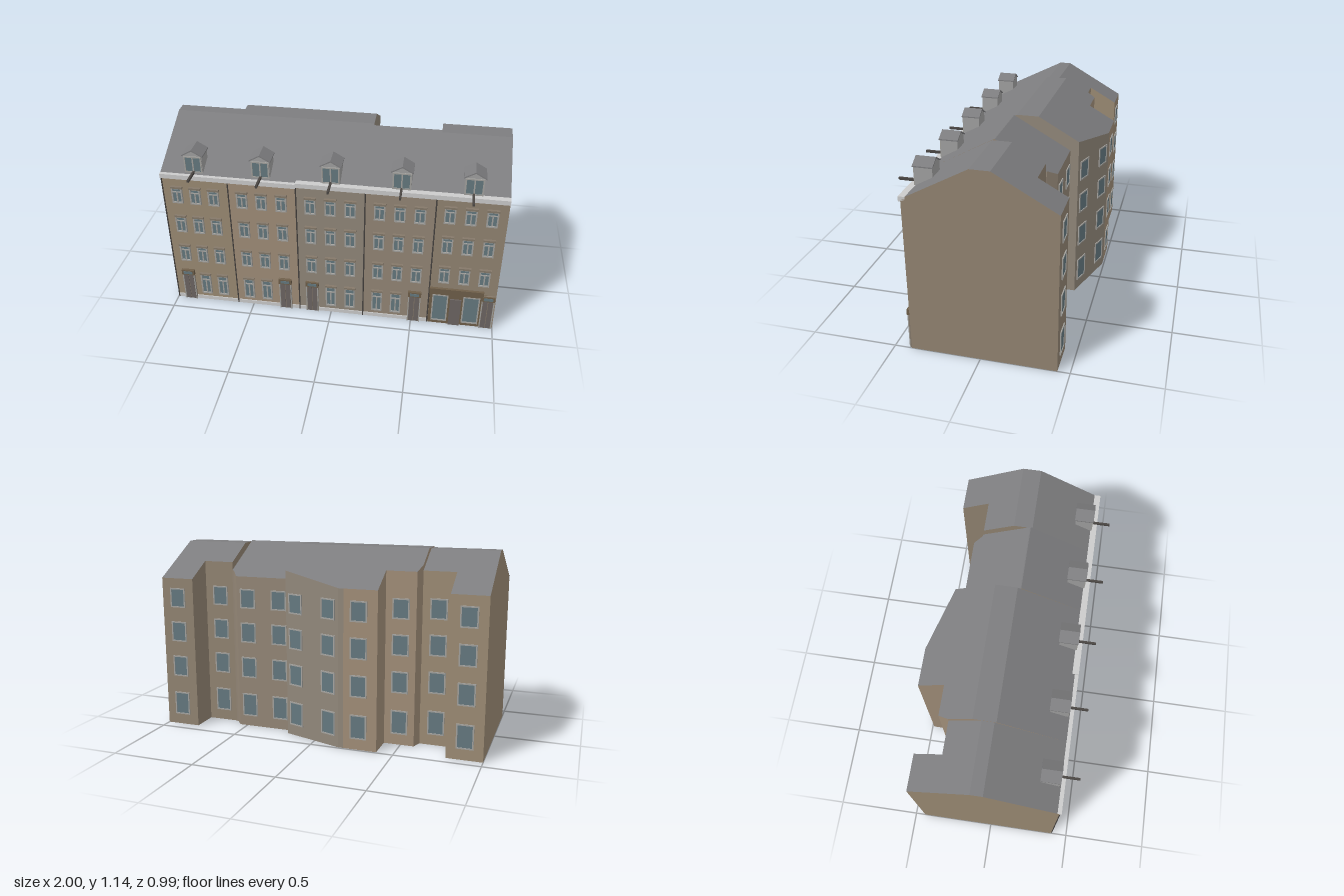
import * as THREE from 'three';

const mat = (color, extra = {}) => new THREE.MeshStandardMaterial({ color, ...extra });
const M = {
  roof: mat(0x7d7d7f, { flatShading: true }),
  trim: mat(0xcccccc),
  frame: mat(0xa3a29e),
  lintel: mat(0x85796a),
  glass: mat(0x64787f),
  door: mat(0x6c6562),
  shop: mat(0x6f5f4a),
  dark: mat(0x4a4643),
  dormer: mat(0xa0a0a0),
};
const FRONT = 0.4, EAVE = 0.925;

// Houses: back wall runs as [x, z] points; ridge and flat are roof break lines
const houses = [
  { color: 0x9b8b74, top: 1.133, ridge: -0.01, flat: -0.08, back: [[-1, -0.44], [-0.79, -0.44], [-0.79, -0.27], [-0.6, -0.27]],
    cols: [-0.91, -0.8, -0.69], door: 0, dormer: -0.8, cornice: 0.902 },
  { color: 0xa08d78, top: 1.138, ridge: 0, flat: -0.13, back: [[-0.6, -0.27], [-0.58, -0.33], [-0.4, -0.33], [-0.4, -0.49], [-0.2, -0.49]],
    cols: [-0.52, -0.405, -0.287], door: 2, dormer: -0.405, cornice: 0.902 },
  { color: 0x91877a, top: 1.138, ridge: 0, flat: -0.13, back: [[-0.2, -0.49], [-0.17, -0.49], [0.2, -0.37]],
    cols: [-0.117, 0, 0.117], door: 0, dormer: 0, cornice: 0.91 },
  { color: 0x938676, top: 1.135, ridge: 0.02, flat: 0.015, back: [[0.2, -0.32], [0.55, -0.32], [0.59, -0.27], [0.6, -0.27]],
    cols: [0.285, 0.4, 0.515], door: 2, dormer: 0.4, cornice: 0.91 },
  { color: 0x918371, top: 1.128, ridge: 0.03, flat: -0.08, back: [[0.6, -0.265], [0.79, -0.265], [0.79, -0.43], [1, -0.43]],
    cols: [0.68, 0.797, 0.915], shop: true, dormer: 0.797, cornice: 0.91 },
];

function add(parent, name, geo, material, x = 0, y = 0, z = 0) {
  const m = new THREE.Mesh(geo, material);
  m.name = name;
  m.position.set(x, y, z);
  parent.add(m);
  return m;
}

// Box given by its limits
function box(parent, name, material, x0, x1, y0, y1, z0, z1) {
  return add(parent, name, new THREE.BoxGeometry(x1 - x0, y1 - y0, z1 - z0), material,
    (x0 + x1) / 2, (y0 + y1) / 2, (z0 + z1) / 2);
}

// Geometry from convex polygons, each a list of corners
function polygons(list) {
  const pos = [];
  for (const p of list)
    for (let i = 1; i < p.length - 1; i++) pos.push(...p[0], ...p[i], ...p[i + 1]);
  const g = new THREE.BufferGeometry();
  g.setAttribute('position', new THREE.Float32BufferAttribute(pos, 3));
  g.computeVertexNormals();
  return g;
}

// Closed shell of one house: walls, floor and roof slopes
function shell(h) {
  const { back, top, ridge, flat } = h;
  const roofY = z => top - (flat - z) * 0.56;
  const profile = z => [[FRONT, EAVE], [ridge, top], [flat, top], [z, roofY(z)]];
  const walls = [], roof = [];
  const first = back[0], last = back[back.length - 1];
  walls.push([[first[0], 0, FRONT], [last[0], 0, FRONT], [last[0], EAVE, FRONT], [first[0], EAVE, FRONT]]);
  for (let i = 0; i < back.length - 1; i++) {
    const [ax, az] = back[i], [bx, bz] = back[i + 1];
    walls.push([[bx, 0, bz], [ax, 0, az], [ax, roofY(az), az], [bx, roofY(bz), bz]]);
    if (ax === bx) continue;
    walls.push([[ax, 0, FRONT], [ax, 0, az], [bx, 0, bz], [bx, 0, FRONT]]);
    const pa = profile(az), pb = profile(bz);
    for (let k = 0; k < 3; k++) {
      const at = (x, p) => [x, p[1], p[0]];
      roof.push([at(ax, pa[k]), at(bx, pb[k]), at(bx, pb[k + 1]), at(ax, pa[k + 1])]);
    }
  }
  // End gables
  const gable = ([x, z]) => [[x, 0, z], [x, 0, FRONT], ...profile(z).map(p => [x, p[1], p[0]])];
  walls.push(gable(first), gable(last).reverse());
  const g = new THREE.Group();
  add(g, 'walls', polygons(walls), mat(h.color));
  add(g, 'roof', polygons(roof), M.roof);
  return g;
}

// Rectangular ring standing on y = 0, facing +z
function ring(w, h, t, depth) {
  const s = new THREE.Shape([[-w / 2, 0], [w / 2, 0], [w / 2, h], [-w / 2, h]].map(p => new THREE.Vector2(...p)));
  s.holes.push(new THREE.Path([[-w / 2 + t, t], [-w / 2 + t, h - t], [w / 2 - t, h - t], [w / 2 - t, t]].map(p => new THREE.Vector2(...p))));
  return new THREE.ExtrudeGeometry(s, { depth, bevelEnabled: false });
}

// Window with optional T-shaped glazing bars and lintel
function makeWindow(w, h, depth, bars) {
  const g = new THREE.Group();
  g.name = 'window';
  add(g, 'windowFrame', ring(w, h, 0.008, depth), M.frame);
  box(g, 'glass', M.glass, -w / 2 + 0.006, w / 2 - 0.006, 0.006, h - 0.006, 0, depth * 0.4);
  if (bars) {
    box(g, 'mullion', M.frame, -0.004, 0.004, 0.006, h * 0.72, 0, depth * 0.8);
    box(g, 'transom', M.frame, -w / 2 + 0.006, w / 2 - 0.006, h * 0.7, h * 0.75, 0, depth * 0.8);
    box(g, 'lintel', M.lintel, -w / 2 - 0.003, w / 2 + 0.003, h - 0.004, h + 0.008, 0, depth + 0.002);
  }
  return g;
}

// Double door with a fanlight
function makeDoor(h) {
  const g = new THREE.Group();
  g.name = 'frontDoor';
  box(g, 'doorCase', M.lintel, -0.038, 0.038, 0, h, 0, 0.01);
  box(g, 'doorHead', M.shop, -0.04, 0.04, h - 0.035, h, 0, 0.018);
  box(g, 'fanlight', M.glass, -0.028, 0.028, h - 0.028, h - 0.008, 0, 0.02);
  for (const s of [-1, 1]) {
    box(g, 'doorLeaf', M.door, s * 0.016 - 0.014, s * 0.016 + 0.014, 0.004, h - 0.038, 0, 0.014);
    box(g, 'doorPost', M.frame, s * 0.035 - 0.003, s * 0.035 + 0.003, 0, h - 0.035, 0, 0.016);
  }
  return g;
}

// Gabled dormer with a hoisting beam under its window
function makeDormer() {
  const g = new THREE.Group();
  g.name = 'dormer';
  const W = 0.054, s = new THREE.Shape();
  s.moveTo(-W, 0.93).lineTo(W, 0.93).lineTo(W, 1.045).lineTo(0, 1.078).lineTo(-W, 1.045);
  add(g, 'dormerBody', new THREE.ExtrudeGeometry(s, { depth: 0.1, bevelEnabled: false }), M.dormer, 0, 0, 0.278);
  const r = new THREE.Shape();
  r.moveTo(-0.062, 1.043).lineTo(0, 1.078).lineTo(0.062, 1.043).lineTo(0.062, 1.05).lineTo(0, 1.086).lineTo(-0.062, 1.05);
  add(g, 'dormerRoof', new THREE.ExtrudeGeometry(r, { depth: 0.113, bevelEnabled: false }), M.roof, 0, 0, 0.273);
  const w = makeWindow(0.104, 0.105, 0.006, false);
  w.position.set(0, 0.938, 0.378);
  g.add(w);
  box(w, 'mullion', M.frame, -0.004, 0.004, 0, 0.1, 0, 0.006);
  box(g, 'hoistBeam', M.dark, -0.006, 0.006, 0.936, 0.95, 0.36, 0.49);
  return g;
}

function shopFront(g) {
  box(g, 'shopSurround', M.shop, 0.605, 0.918, 0, 0.24, 0.39, 0.404);
  box(g, 'shopFascia', M.shop, 0.602, 0.925, 0.235, 0.278, 0.39, 0.416);
  for (const [x, w] of [[0.67, 0.096], [0.857, 0.1]]) {
    const pane = makeWindow(w, 0.205, 0.008, false);
    pane.name = 'shopWindow';
    pane.position.set(x, 0.025, 0.404);
    g.add(pane);
  }
  box(g, 'shopDoor', M.door, 0.73, 0.797, 0, 0.2, 0.4, 0.412);
}

const frontRows = [[0.055, 0.15], [0.305, 0.115], [0.525, 0.112], [0.735, 0.105]];
const backRows = [[0.065, 0.145], [0.315, 0.13], [0.538, 0.125], [0.752, 0.12]];
// Back window columns: x, z and turn of the wall
const slant = Math.atan2(0.12, 0.37);
const backCols = [
  [-0.895, -0.44, 0], [-0.695, -0.27, 0], [-0.49, -0.33, 0], [-0.29, -0.49, 0],
  [-0.1, -0.467, slant], [0.13, -0.393, slant], [0.27, -0.32, 0], [0.475, -0.32, 0],
  [0.69, -0.265, 0], [0.895, -0.43, 0],
];

export function createModel() {
  const root = new THREE.Group();
  root.name = 'terracedHouses';

  houses.forEach((h, n) => {
    const g = shell(h);
    g.name = 'house' + (n + 1);
    root.add(g);
    const x0 = h.back[0][0], x1 = h.back[h.back.length - 1][0];

    // Cornice, plinth and downpipe
    box(g, 'cornice', M.trim, x0, x1, h.cornice, h.cornice + 0.028, 0.375, 0.413);
    if (!h.shop) box(g, 'plinth', M.trim, x0, x1, 0, 0.025, 0.39, 0.405);
    const pipe = new THREE.CylinderGeometry(0.004, 0.004, h.cornice, 8);
    add(g, 'downpipe', pipe, M.dark, Math.max(x0, -0.995), h.cornice / 2, 0.404);

    // Front windows and door
    h.cols.forEach((x, c) => frontRows.forEach(([y, height], r) => {
      if (r === 0 && (h.shop || c === h.door)) return;
      const w = makeWindow(0.064, height, 0.014, true);
      w.position.set(x, y + (h.shop ? 0.018 : 0), FRONT);
      g.add(w);
    }));
    const door = makeDoor(h.shop ? 0.25 : 0.23);
    door.position.set(h.shop ? 0.955 : h.cols[h.door], 0, FRONT);
    g.add(door);
    if (h.shop) shopFront(g);

    const dormer = makeDormer();
    dormer.position.x = h.dormer;
    g.add(dormer);
  });

  // Back windows
  for (const [x, z, turn] of backCols)
    for (const [y, height] of backRows) {
      const w = makeWindow(0.1, height, 0.006, false);
      w.name = 'backWindow';
      w.position.set(x, y, z);
      w.rotation.y = Math.PI - turn;
      root.add(w);
    }
  return root;
}
